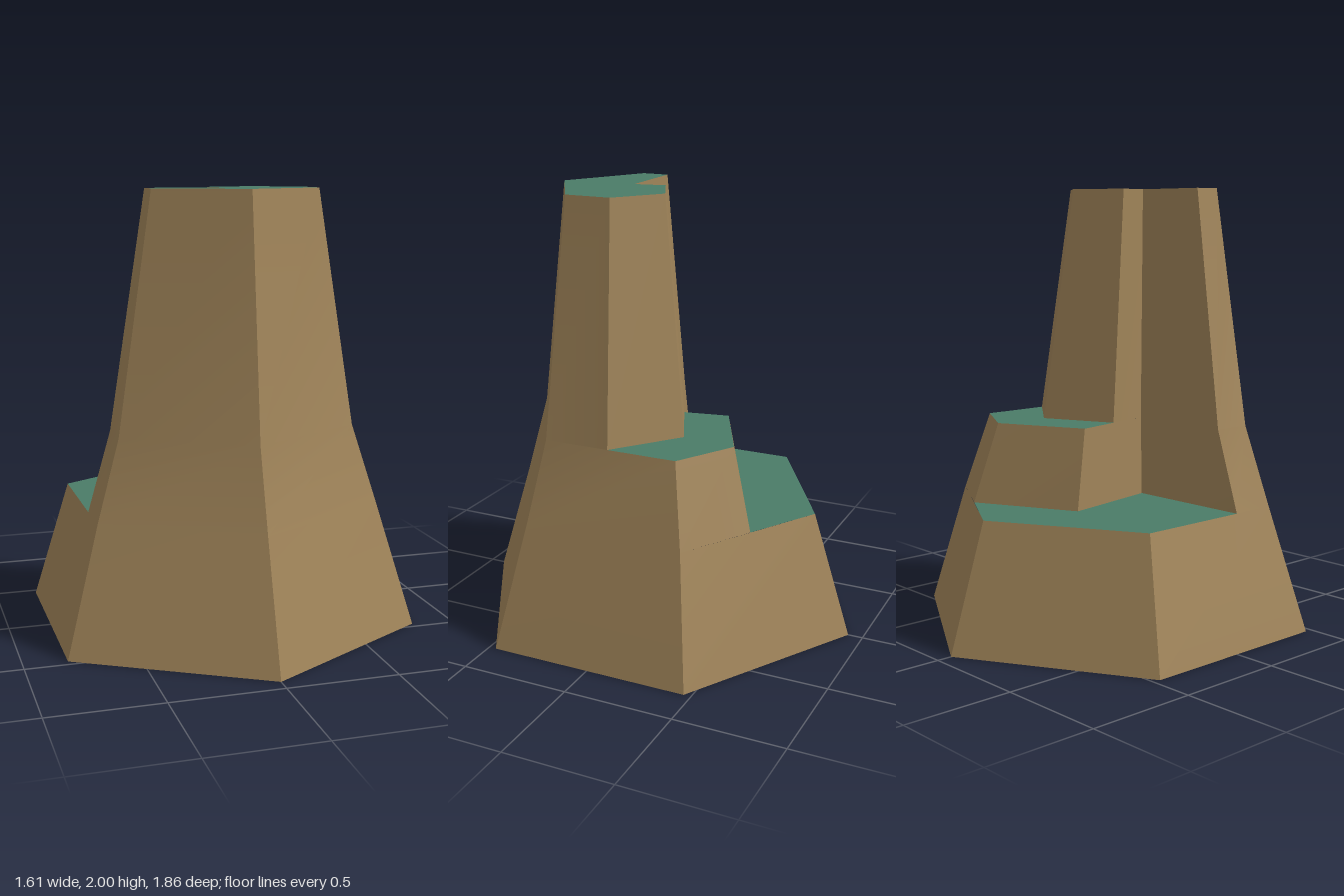
import * as THREE from 'three';
import { toCreasedNormals } from 'three/addons/utils/BufferGeometryUtils.js';

const rock = new THREE.MeshStandardMaterial({ color: 0xa08459 });
const grass = new THREE.MeshStandardMaterial({ color: 0x4a7c67 });

// Outlines are [x, z] points, counter-clockwise seen from above.
const hexagon = (w, r) => [[0, r], [w, r / 2], [w, -r / 2], [0, -r], [-w, -r / 2], [-w, r / 2]];
const LOW = 0.57, MID = 0.935, TOP = 2;

const baseFoot = hexagon(0.807, 0.932);
const baseRim = hexagon(0.65, 0.75);
const midFoot = [[0, 0.75], [0.65, 0.375], [0.65, -0.375], [0.322, -0.563],
  [-0.14, -0.33], [-0.05, 0.15], [-0.65, 0.16], [-0.65, 0.375]];
const midRim = [[0, 0.642], [0.542, 0.329], [0.542, -0.302], [0.27, -0.458],
  [-0.12, -0.27], [-0.04, 0.152], [-0.542, 0.148], [-0.542, 0.329]];
const peakFoot = [[0, 0.642], [0.542, 0.329], [0.542, 0.023], [0.245, -0.207],
  [-0.08, -0.06], [-0.04, 0.152], [-0.542, 0.148], [-0.542, 0.329]];
const peakRim = [[0, 0.515], [0.38, 0.295], [0.38, 0.08], [0.173, -0.08],
  [-0.055, 0.025], [-0.03, 0.17], [-0.38, 0.17], [-0.38, 0.295]];

// Exposed parts of the two terraces
const lowTerrace = [[0, -0.75], [-0.65, -0.375], [-0.65, 0.16], [-0.05, 0.15], [-0.14, -0.33], [0.322, -0.563]];
const midTerrace = [[0.542, 0.023], [0.542, -0.302], [0.27, -0.458], [-0.12, -0.27], [-0.08, -0.06], [0.245, -0.207]];

// Sloping walls between matching outlines, creased at the corners
function walls(bands) {
  const pos = [];
  for (const [lower, y0, upper, y1] of bands) {
    lower.forEach((p, i) => {
      const j = (i + 1) % lower.length;
      const a = [p[0], y0, p[1]], b = [lower[j][0], y0, lower[j][1]];
      const c = [upper[j][0], y1, upper[j][1]], d = [upper[i][0], y1, upper[i][1]];
      pos.push(...a, ...b, ...c, ...a, ...c, ...d);
    });
  }
  const g = new THREE.BufferGeometry();
  g.setAttribute('position', new THREE.Float32BufferAttribute(pos, 3));
  return toCreasedNormals(g, Math.PI / 6);
}

// Flat horizontal face, turned up or down
function flat(outline, y, up = 1) {
  const shape = new THREE.Shape(outline.map(([x, z]) => new THREE.Vector2(x, -z * up)));
  return new THREE.ShapeGeometry(shape).rotateX(-up * Math.PI / 2).translate(0, y, 0);
}

export function createModel() {
  const group = new THREE.Group();
  group.name = 'steppedRock';
  const add = (name, geometry, material) => {
    const mesh = new THREE.Mesh(geometry, material);
    mesh.name = name;
    group.add(mesh);
  };

  add('rockWalls', walls([
    [baseFoot, 0, baseRim, LOW],
    [midFoot, LOW, midRim, MID],
    [peakFoot, MID, peakRim, TOP],
  ]), rock);
  add('underside', flat(baseFoot, 0, -1), rock);
  add('lowerTerrace', flat(lowTerrace, LOW), grass);
  add('middleTerrace', flat(midTerrace, MID), grass);
  add('summit', flat(peakRim, TOP), grass);
  return group;
}
